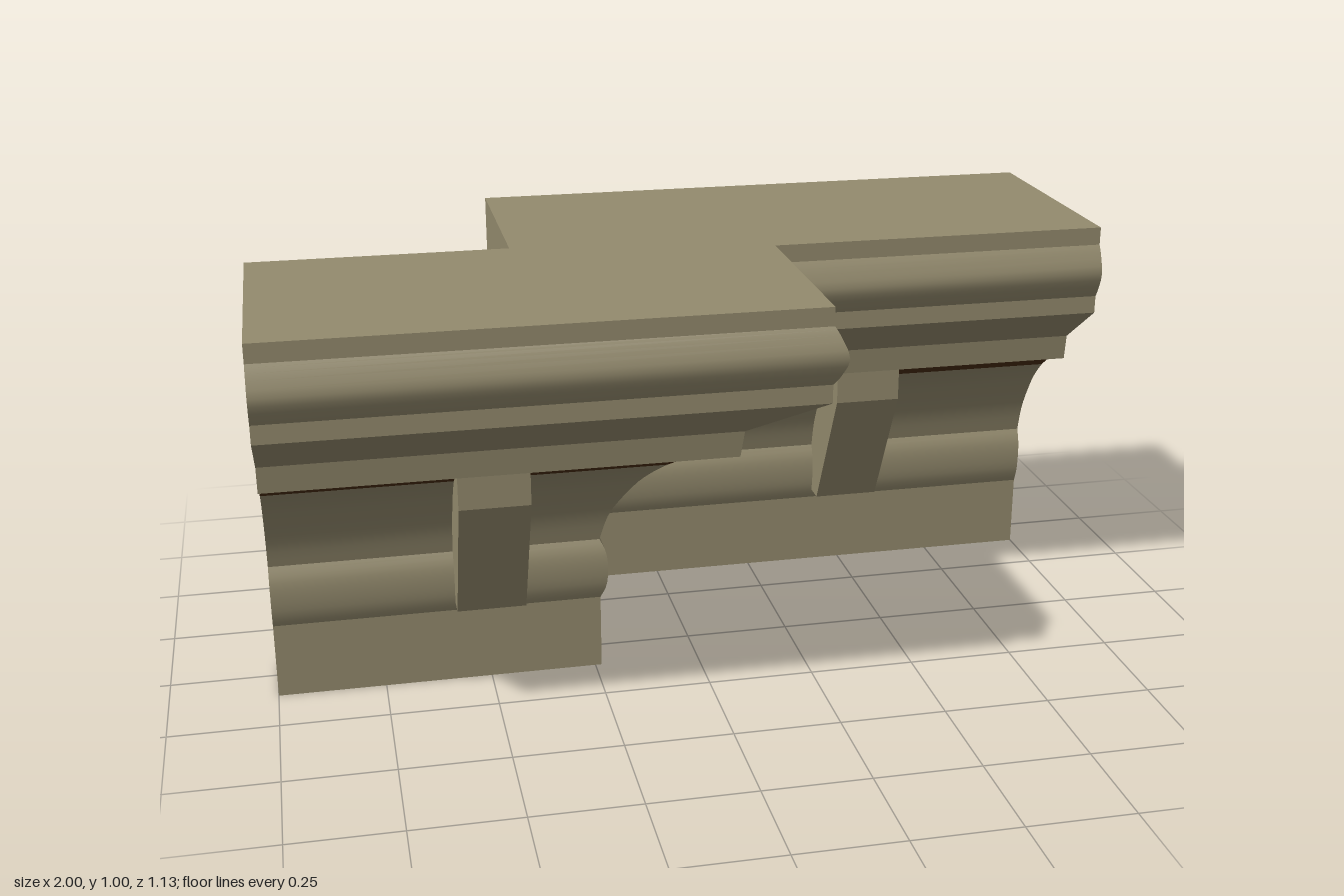
import * as THREE from 'three';

export function createModel() {
  const model = new THREE.Group();
  model.name = 'corniceSection';
  const stone = new THREE.MeshStandardMaterial({ color: 0x948b6e, side: THREE.DoubleSide });
  stone.name = 'stone';
  const brown = new THREE.MeshStandardMaterial({ color: 0x4a2d10, side: THREE.DoubleSide });
  brown.name = 'darkBrown';

  // Grid of quads between rows of two 3D points, smooth along the rows
  const strip = (rows) => {
    const g = new THREE.BufferGeometry();
    g.setAttribute('position', new THREE.Float32BufferAttribute(rows.flat(2), 3));
    const index = [];
    for (let i = 0; i < rows.length - 1; i++) {
      const a = i * 2;
      index.push(a, a + 1, a + 3, a, a + 3, a + 2);
    }
    g.setIndex(index);
    g.computeVertexNormals();
    return g;
  };
  const add = (parent, name, geometry, material) => {
    const mesh = new THREE.Mesh(geometry, material);
    mesh.name = name;
    parent.add(mesh);
  };

  // Stepped plan path with mitred corners, for a profile point [z, y]
  const path = ([z, y]) => [[-1, y, z], [z - 0.34, y, z], [z - 0.34, y, z - 0.5], [1, y, z - 0.5]];
  const sweep = (name, profile, material = stone) => {
    const group = new THREE.Group();
    group.name = name;
    for (let run = 0; run < 3; run++) {
      add(group, name + 'Run', strip(profile.map((p) => path(p).slice(run, run + 2))), material);
    }
    model.add(group);
  };
  const smooth = (points, n) => new THREE.SplineCurve(points.map((p) => new THREE.Vector2(...p)))
    .getPoints(n).map((v) => [v.x, v.y]);

  // Base and lower roll
  sweep('bottomPlate', [[-0.065, 0], [0.105, 0]]);
  sweep('baseBoard', [[0.105, 0], [0.105, 0.18]]);
  sweep('lowerRoll', smooth([[0.105, 0.18], [0.118, 0.215], [0.122, 0.26], [0.118, 0.3], [0.105, 0.33]], 10));

  // Cove with two dark bands near its top
  sweep('cove', smooth([[0.105, 0.33], [0.127, 0.405], [0.175, 0.487], [0.21, 0.53], [0.242, 0.56]], 14));
  sweep('lowerDarkBand', [[0.242, 0.56], [0.275, 0.585]], brown);
  sweep('coveBand', [[0.275, 0.585], [0.305, 0.605]]);
  sweep('upperDarkBand', [[0.305, 0.605], [0.33, 0.62]], brown);

  // Fascia, slope and upper roll
  sweep('soffit', [[0.33, 0.62], [0.378, 0.62]]);
  sweep('fascia', [[0.378, 0.62], [0.386, 0.682]]);
  sweep('slope', [[0.386, 0.682], [0.538, 0.788]]);
  sweep('lowerFillet', [[0.538, 0.788], [0.538, 0.83]]);
  sweep('upperRoll', smooth([[0.538, 0.83], [0.551, 0.852], [0.565, 0.893], [0.551, 0.935], [0.538, 0.958]], 10));
  sweep('upperFillet', [[0.538, 0.958], [0.538, 1]]);

  // Top and back wall
  sweep('topPlate', [[0.538, 1], [-0.065, 1]]);
  sweep('backWall', [[-0.065, 1], [-0.065, 0.602]]);

  // Hollow brackets, open at top and back
  const outline = [[0.08, 0.205], [0.167, 0.205], [0.33, 0.525], [0.33, 0.635], [0.08, 0.635]];
  const w = 0.08;
  for (const [x, z] of [[-0.5, 0], [0.5, -0.5]]) {
    const bracket = new THREE.Group();
    bracket.name = 'bracket';
    bracket.position.set(x, 0, z);
    ['bracketBottom', 'bracketSlope', 'bracketFront'].forEach((name, i) => {
      const rows = [outline[i], outline[i + 1]].map(([pz, y]) => [[-w, y, pz], [w, y, pz]]);
      add(bracket, name, strip(rows), stone);
    });
    for (const side of [-1, 1]) {
      // Shape drawn so that its face turns outward on either side
      const shape = new THREE.Shape(outline.map(([pz, y]) => new THREE.Vector2(-side * pz, y)));
      const plate = new THREE.ShapeGeometry(shape);
      plate.rotateY(side * Math.PI / 2);
      plate.translate(side * w, 0, 0);
      add(bracket, 'bracketSide', plate, stone);
    }
    model.add(bracket);
  }
  return model;
}
